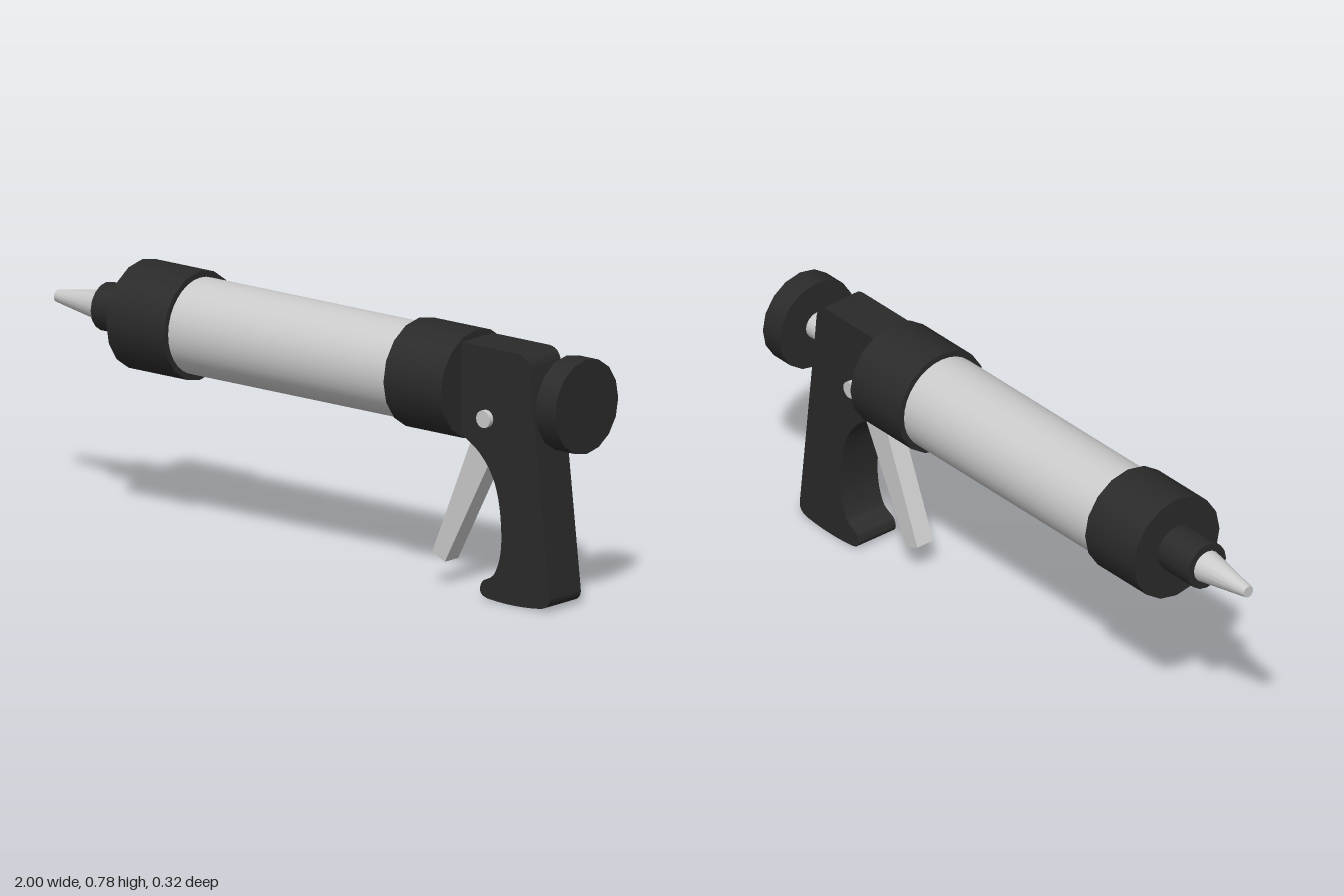
import * as THREE from 'three';

const AXIS_Y = 0.617;
const dark = new THREE.MeshStandardMaterial({ color: 0x2a2a2a });
const grey = new THREE.MeshStandardMaterial({ color: 0xcccccc });

export function createModel() {
  const group = new THREE.Group();

  const add = (name, geometry, material) => {
    const mesh = new THREE.Mesh(geometry, material);
    mesh.name = name;
    group.add(mesh);
    return mesh;
  };

  // Cylinder lying along x on the barrel axis, from x0 (radius r0) to x1 (radius r1)
  const barrelPart = (name, x0, x1, r0, r1, sides, material) => {
    const geometry = new THREE.CylinderGeometry(r0, r1, x1 - x0, sides);
    geometry.rotateZ(Math.PI / 2);
    geometry.translate((x0 + x1) / 2, AXIS_Y, 0);
    return add(name, geometry, material);
  };

  // Side outline extruded symmetrically about z = 0
  const plate = (name, shape, depth, material) => {
    const geometry = new THREE.ExtrudeGeometry(shape, { depth, bevelEnabled: false, curveSegments: 6 });
    geometry.translate(0, 0, -depth / 2);
    return add(name, geometry, material);
  };

  // Nozzle, barrel, collars, plunger
  barrelPart('nozzle', -1, -0.8, 0.018, 0.052, 16, grey);
  barrelPart('nozzleNeck', -0.815, -0.67, 0.072, 0.072, 16, dark);
  barrelPart('frontCollar', -0.68, -0.462, 0.162, 0.162, 16, dark);
  barrelPart('barrel', -0.48, 0.39, 0.143, 0.143, 32, grey);
  barrelPart('rearCollar', 0.368, 0.585, 0.162, 0.162, 16, dark);
  barrelPart('plungerRod', 0.8, 0.94, 0.041, 0.041, 16, grey);
  barrelPart('plungerKnob', 0.925, 1, 0.141, 0.141, 16, dark);

  // Pistol grip with a curved finger side and flared foot
  const grip = new THREE.Shape();
  grip.moveTo(0.57, 0.755);
  grip.lineTo(0.57, 0.492);
  grip.lineTo(0.585, 0.482);
  grip.splineThru([
    [0.655, 0.435], [0.705, 0.368], [0.73, 0.28], [0.735, 0.165],
    [0.71, 0.085], [0.666, 0.056], [0.655, 0.032],
  ].map(([x, y]) => new THREE.Vector2(x, y)));
  grip.quadraticCurveTo(0.655, 0.01, 0.69, 0.006);
  grip.quadraticCurveTo(0.785, -0.004, 0.88, 0.008);
  grip.quadraticCurveTo(0.924, 0.014, 0.918, 0.05);
  grip.lineTo(0.85, 0.65);
  grip.lineTo(0.844, 0.71);
  grip.quadraticCurveTo(0.84, 0.752, 0.8, 0.755);
  grip.closePath();
  plate('grip', grip, 0.14, dark);

  // Trigger lever, widening towards its pivot
  const trigger = new THREE.Shape([
    [0.441, 0.099], [0.489, 0.076], [0.715, 0.51], [0.68, 0.57], [0.632, 0.56],
  ].map(([x, y]) => new THREE.Vector2(x, y)));
  plate('trigger', trigger, 0.06, grey);

  // Pivot pin across the grip
  const pin = new THREE.CylinderGeometry(0.026, 0.026, 0.172, 16);
  pin.rotateX(Math.PI / 2);
  pin.translate(0.68, 0.543, 0);
  add('pivotPin', pin, grey);

  return group;
}
